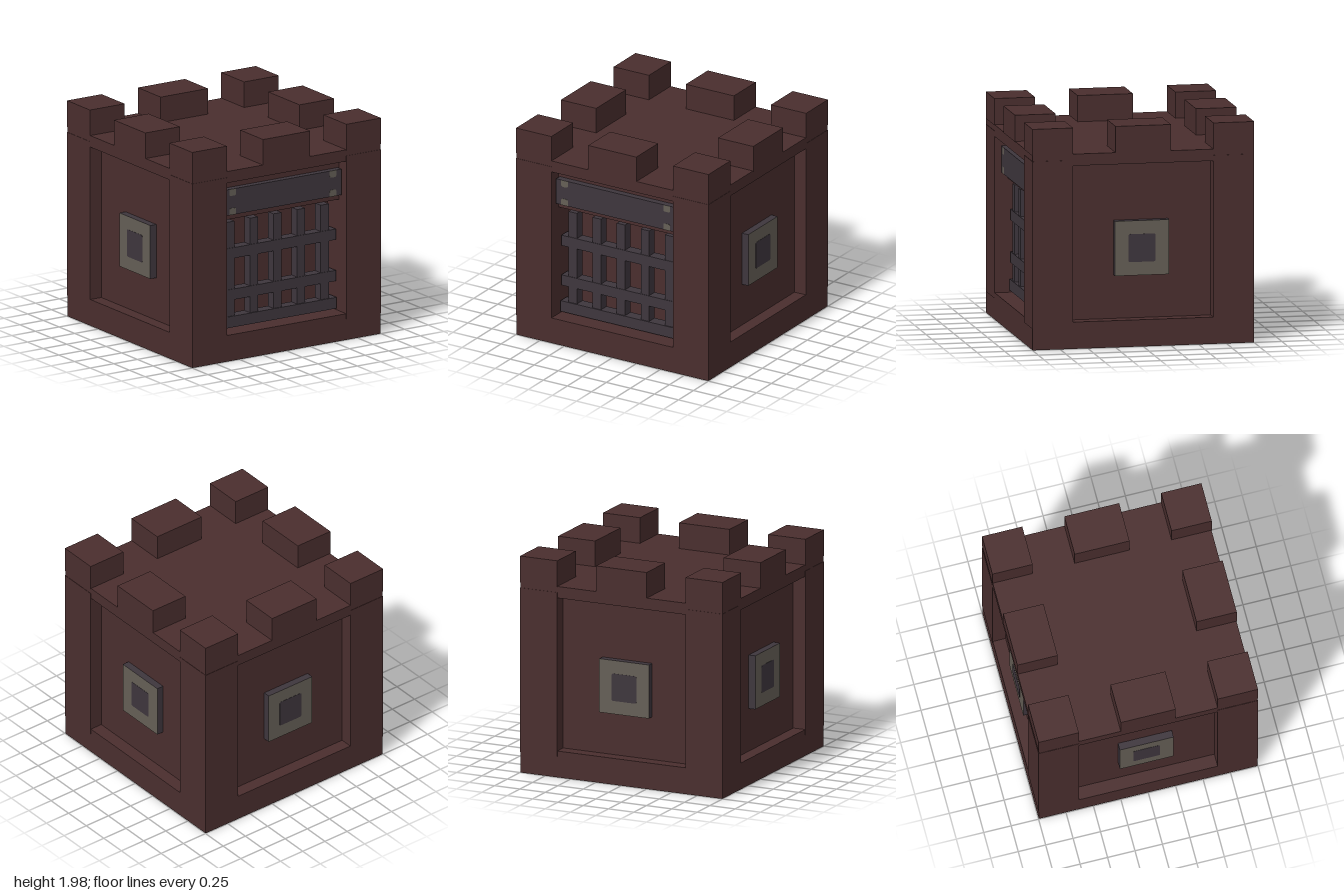
import * as THREE from 'three';

const mat = (name, color) => {
  const m = new THREE.MeshStandardMaterial({ color });
  m.name = name;
  return m;
};

export function createModel() {
  const brick = mat('dark red brick', 0x4a2e2e);
  const iron = mat('dark iron', 0x3e363d);
  const stone = mat('grey stone', 0x655f56);
  const model = new THREE.Group();
  model.name = 'castleBlock';

  // Box given by its limits on each axis
  const box = (parent, name, material, [x0, x1], [y0, y1], [z0, z1]) => {
    const mesh = new THREE.Mesh(new THREE.BoxGeometry(x1 - x0, y1 - y0, z1 - z0), material);
    mesh.position.set((x0 + x1) / 2, (y0 + y1) / 2, (z0 + z1) / 2);
    mesh.name = name;
    parent.add(mesh);
    return mesh;
  };

  // Thin painted plate with chosen corner radii (top, bottom)
  const plate = (parent, name, material, w, h, rTop, rBottom, x, y, z) => {
    const s = new THREE.Shape();
    const a = w / 2, b = h / 2;
    s.moveTo(-a + rBottom, -b);
    s.lineTo(a - rBottom, -b);
    s.quadraticCurveTo(a, -b, a, -b + rBottom);
    s.lineTo(a, b - rTop);
    s.quadraticCurveTo(a, b, a - rTop, b);
    s.lineTo(-a + rTop, b);
    s.quadraticCurveTo(-a, b, -a, b - rTop);
    s.lineTo(-a, -b + rBottom);
    s.quadraticCurveTo(-a, -b, -a + rBottom, -b);
    const geo = new THREE.ExtrudeGeometry(s, { depth: 0.004, bevelEnabled: false, curveSegments: 4 });
    const mesh = new THREE.Mesh(geo, material);
    mesh.position.set(x, y, z);
    mesh.name = name;
    parent.add(mesh);
  };

  // Walls: inner core, base, top slab and corner pillars
  box(model, 'core', brick, [-0.88, 0.88], [0.2, 1.7], [-0.88, 0.7]);
  box(model, 'base', brick, [-0.997, 0.997], [0, 0.24], [-0.997, 0.997]);
  box(model, 'topSlab', brick, [-0.997, 0.997], [1.64, 1.745], [-0.997, 0.997]);
  for (const sx of [-1, 1]) for (const sz of [-1, 1]) {
    const span = (s) => (s > 0 ? [0.633, 1] : [-1, -0.633]);
    box(model, 'cornerPillar', brick, span(sx), [0.19, 1.69], span(sz));
  }

  // Battlements around the edge
  const spans = [[-1, -0.633], [-0.25, 0.25], [0.633, 1]];
  spans.forEach((sx, i) => spans.forEach((sz, j) => {
    if (i !== 1 || j !== 1) box(model, 'merlon', brick, sx, [1.74, 1.98], sz);
  }));

  // Framed windows on the sides and back
  for (const turn of [0.5, 1, -0.5]) {
    const win = new THREE.Group();
    win.name = 'window';
    box(win, 'windowFrame', [iron, iron, iron, iron, stone, iron],
      [-0.245, 0.245], [0.63, 1.12], [0.87, 0.945]);
    plate(win, 'windowPane', iron, 0.245, 0.25, 0.018, 0.018, 0, 0.875, 0.943);
    win.rotation.y = turn * Math.PI;
    model.add(win);
  }

  // Lintel with a riveted iron plate above the gateway
  box(model, 'lintel', brick, [-0.64, 0.64], [1.263, 1.65], [0.65, 0.88]);
  box(model, 'lintelPlate', iron, [-0.62, 0.62], [1.32, 1.557], [0.87, 0.94]);
  for (const x of [-0.532, 0.53]) {
    plate(model, 'rivet', stone, 0.07, 0.062, 0, 0.02, x, 1.526, 0.938);
    plate(model, 'rivet', stone, 0.07, 0.062, 0.02, 0, x, 1.351, 0.938);
  }

  // Portcullis
  const gate = new THREE.Group();
  gate.name = 'portcullis';
  for (let i = -2; i <= 2; i++) {
    box(gate, 'verticalBar', iron, [i * 0.25 - 0.043, i * 0.25 + 0.043], [0.3, 1.23], [0.765, 0.855]);
  }
  for (const y of [0.56, 0.94]) {
    box(gate, 'crossBar', iron, [-0.615, 0.615], [y - 0.049, y + 0.049], [0.76, 0.86]);
  }
  box(gate, 'bottomBar', iron, [-0.62, 0.62], [0.26, 0.362], [0.76, 0.865]);
  model.add(gate);

  return model;
}
